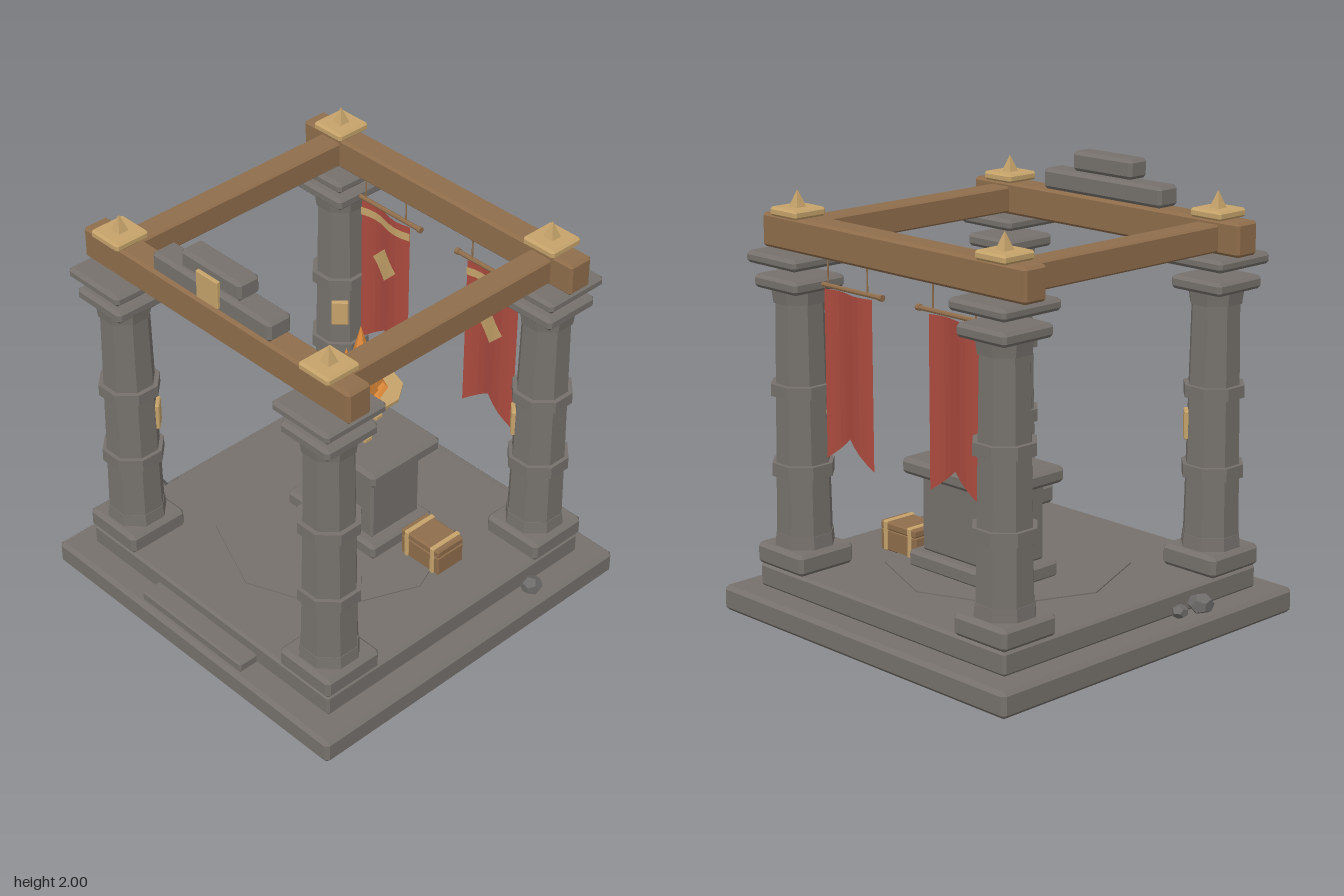
import * as THREE from 'three';
import { ConvexGeometry } from 'three/addons/geometries/ConvexGeometry.js';

const mat = (name, color, extra = {}) => {
  const m = new THREE.MeshStandardMaterial({ color, flatShading: true, ...extra });
  m.name = name;
  return m;
};

export function createModel() {
  const stone = mat('stone', 0x76716c);
  const rubble = mat('rubble stone', 0x6c6b6a);
  const wood = mat('wood', 0x8f6d4b);
  const gold = mat('gold', 0xc6a36a);
  const flame = mat('flame', 0xe08a3a);
  const red = mat('red cloth', 0xab4a3e, { side: THREE.DoubleSide });

  const model = new THREE.Group();
  model.name = 'shrine';

  const add = (parent, name, geo, material, x = 0, y = 0, z = 0) => {
    const mesh = new THREE.Mesh(geo, material);
    mesh.name = name;
    mesh.position.set(x, y, z);
    parent.add(mesh);
    return mesh;
  };
  const group = (name, x = 0, y = 0, z = 0) => {
    const g = new THREE.Group();
    g.name = name;
    g.position.set(x, y, z);
    model.add(g);
    return g;
  };

  // Box with chamfered edges, standing on its local y = 0
  const block = (w, h, d, c = 0.012) => {
    const pts = [];
    for (const sx of [-1, 1]) for (const sy of [-1, 1]) for (const sz of [-1, 1])
      for (let a = 0; a < 3; a++)
        pts.push(new THREE.Vector3(
          sx * (w / 2 - (a === 0 ? 0 : c)),
          h / 2 + sy * (h / 2 - (a === 1 ? 0 : c)),
          sz * (d / 2 - (a === 2 ? 0 : c))));
    return new ConvexGeometry(pts);
  };
  // Octagonal drum given by its width across flats, standing on y = 0
  const drum = (topW, botW, h) => {
    const k = 0.5 / Math.cos(Math.PI / 8);
    return new THREE.CylinderGeometry(topW * k, botW * k, h, 8).rotateY(Math.PI / 8).translate(0, h / 2, 0);
  };

  // Platform
  const platform = group('platform');
  add(platform, 'lowerTier', block(1.81, 0.118, 1.81, 0.018), stone);
  add(platform, 'upperTier', block(1.57, 0.107, 1.57), stone, 0, 0.118, 0);
  add(platform, 'frontStep', block(0.66, 0.05, 0.12, 0.008), stone, 0, 0.118, 0.82);
  add(platform, 'floorInlay', new THREE.CylinderGeometry(0.55, 0.55, 0.006, 8), stone, 0, 0.228, 0);

  // Four columns with finials and inward-facing plaques
  for (const sx of [-1, 1]) for (const sz of [-1, 1]) {
    const col = group('column', sx * 0.64, 0, sz * 0.64);
    add(col, 'columnBase', block(0.31, 0.1, 0.31, 0.018), stone, 0, 0.225, 0);
    add(col, 'footRing', drum(0.245, 0.255, 0.06), stone, 0, 0.325, 0);
    add(col, 'shaft', drum(0.205, 0.24, 1.06), stone, 0, 0.38, 0);
    add(col, 'lowerBand', drum(0.265, 0.265, 0.06), stone, 0, 0.648, 0);
    add(col, 'upperBand', drum(0.26, 0.26, 0.055), stone, 0, 1.013, 0);
    add(col, 'collar', drum(0.235, 0.22, 0.06), stone, 0, 1.43, 0);
    add(col, 'capital', block(0.285, 0.06, 0.285, 0.015), stone, 0, 1.49, 0);
    add(col, 'capSlab', block(0.33, 0.053, 0.33, 0.015), stone, 0, 1.6, 0);
    const plaque = add(col, 'plaque', block(0.08, 0.13, 0.025, 0.005), gold, -sx * 0.083, 0.815, -sz * 0.083);
    plaque.rotation.y = Math.atan2(-sx, -sz);
    add(col, 'finialPlate', block(0.175, 0.04, 0.175, 0.01), gold, 0, 1.805, 0);
    const spike = new THREE.ConeGeometry(0.038, 0.077, 4).rotateY(Math.PI / 4);
    add(col, 'finialSpike', spike, gold, 0, 1.883, 0);
  }

  // Timber frame
  const frame = group('timberFrame');
  for (const s of [-1, 1]) {
    add(frame, 'crossBeam', block(1.63, 0.15, 0.125), wood, 0, 1.655, s * 0.637);
    add(frame, 'sideBeam', block(0.12, 0.12, 1.2, 0.008), wood, s * 0.64, 1.665, 0);
  }

  // Crest on the front beam
  const crest = group('crest', 0, 0, 0.637);
  add(crest, 'crestLower', block(0.72, 0.095, 0.125, 0.015), stone, 0, 1.807, 0);
  add(crest, 'crestUpper', block(0.36, 0.09, 0.115, 0.015), stone, 0, 1.91, 0);
  add(crest, 'crestPlate', block(0.13, 0.13, 0.02, 0.003), gold, 0, 1.83, 0.066);

  // Altar
  const altar = group('altar', 0, 0, -0.153);
  add(altar, 'altarBase', block(0.57, 0.08, 0.38, 0.015), stone, 0, 0.225, 0);
  add(altar, 'altarBody', block(0.47, 0.355, 0.3, 0.012), stone, 0, 0.305, 0);
  add(altar, 'altarSlab', block(0.605, 0.075, 0.425, 0.018), stone, 0, 0.66, 0);
  add(altar, 'altarPlate', block(0.25, 0.175, 0.025, 0.008), gold, 0, 0.393, 0.16);
  add(altar, 'altarBar', block(0.048, 0.135, 0.012, 0.003), gold, 0, 0.415, 0.172);

  // Brazier on three legs
  const brazier = group('brazier', 0, 0, -0.153);
  for (let i = 0; i < 3; i++) {
    const a = Math.PI / 6 + i * Math.PI * 2 / 3;
    const x = 0.1 * Math.cos(a), z = 0.1 * Math.sin(a);
    add(brazier, 'leg', new THREE.CylinderGeometry(0.015, 0.017, 0.11, 6), gold, x, 0.79, z);
    add(brazier, 'foot', block(0.045, 0.025, 0.045, 0.005), gold, x, 0.735, z);
  }
  add(brazier, 'bowl', new THREE.CylinderGeometry(0.185, 0.09, 0.11, 10), gold, 0, 0.892, 0);
  add(brazier, 'rim', new THREE.CylinderGeometry(0.192, 0.19, 0.018, 10), gold, 0, 0.952, 0);
  add(brazier, 'embers', new THREE.CylinderGeometry(0.11, 0.125, 0.012, 8), flame, 0, 0.966, 0);
  // Flame tongues: x, z, radius, height, lean
  for (const [x, z, r, h, tx, tz] of [
    [0, 0, 0.088, 0.328, 0, 0],
    [-0.045, 0.03, 0.062, 0.2, -0.005, 0.01],
    [0.05, 0.02, 0.06, 0.205, 0.008, 0],
    [0.015, -0.05, 0.06, 0.19, 0, -0.01],
    [-0.035, -0.04, 0.05, 0.14, -0.01, 0],
    [0.015, 0.06, 0.045, 0.13, 0, 0.005],
  ]) {
    const geo = new THREE.ConeGeometry(r, h, 5).translate(0, h / 2, 0);
    const p = geo.attributes.position;
    for (let i = 0; i < p.count; i++) {
      const t = p.getY(i) / h;
      p.setXYZ(i, p.getX(i) + tx * t, p.getY(i), p.getZ(i) + tz * t);
    }
    add(brazier, 'flameTongue', geo.rotateY(0), flame, x, 0.967, z);
  }

  // Banners hanging from the rear beam
  const half = 0.155;
  const fold = (x) => 0.014 * Math.sin((x / half) * Math.PI);
  const drape = (geo, rule) => {
    const p = geo.attributes.position;
    for (let i = 0; i < p.count; i++) {
      const [x, y, dz] = rule(p.getX(i), p.getY(i));
      p.setXYZ(i, x, y, fold(x) + dz);
    }
    return geo;
  };
  for (const s of [-1, 1]) {
    const banner = group('banner', s * 0.333, 0, -0.627);
    const cloth = drape(new THREE.PlaneGeometry(2 * half, 1, 8, 6), (x, y) => {
      const bottom = 0.745 + 0.115 * (1 - Math.abs(x) / half);
      return [x, bottom + (y + 0.5) * (1.505 - bottom), 0];
    });
    add(banner, 'cloth', cloth, red);
    const stripe = drape(new THREE.PlaneGeometry(2 * half, 0.04, 8, 1), (x, y) => [x, y + 1.452, 0.004]);
    add(banner, 'stripe', stripe, gold);
    const emblem = drape(new THREE.PlaneGeometry(0.123, 0.123, 4, 4).rotateZ(Math.PI / 4),
      (x, y) => [x, y + 1.23, 0.006]);
    add(banner, 'emblem', emblem, gold);
    add(banner, 'rod', new THREE.CylinderGeometry(0.011, 0.011, 0.43, 8).rotateZ(Math.PI / 2), wood, 0, 1.523, 0);
    for (const e of [-1, 1]) {
      add(banner, 'rodEnd', new THREE.CylinderGeometry(0.015, 0.015, 0.02, 8).rotateZ(Math.PI / 2),
        wood, e * 0.215, 1.523, 0);
      add(banner, 'cord', new THREE.CylinderGeometry(0.004, 0.004, 0.14, 6), wood, e * 0.128, 1.595, 0);
    }
  }

  // Chest beside the altar
  const chest = group('chest', 0.437, 0.225, -0.187);
  add(chest, 'chestBody', block(0.235, 0.1, 0.16, 0.006), wood);
  add(chest, 'chestLid', block(0.235, 0.04, 0.165, 0.008), wood, 0, 0.098, 0);
  for (const s of [-1, 1])
    add(chest, 'strap', block(0.025, 0.143, 0.176, 0.005), gold, s * 0.08, 0, 0);

  // Loose rocks: x, z, radius, turn
  for (const [x, z, r, turn] of [[0.83, -0.43, 0.052, 0.4], [-0.835, 0.36, 0.06, 1.1], [-0.81, 0.25, 0.04, 2]]) {
    const rock = add(model, 'rock', new THREE.DodecahedronGeometry(r), rubble, x, 0.118 + r * 0.7, z);
    rock.scale.y = 0.8;
    rock.rotation.y = turn;
  }

  return model;
}
